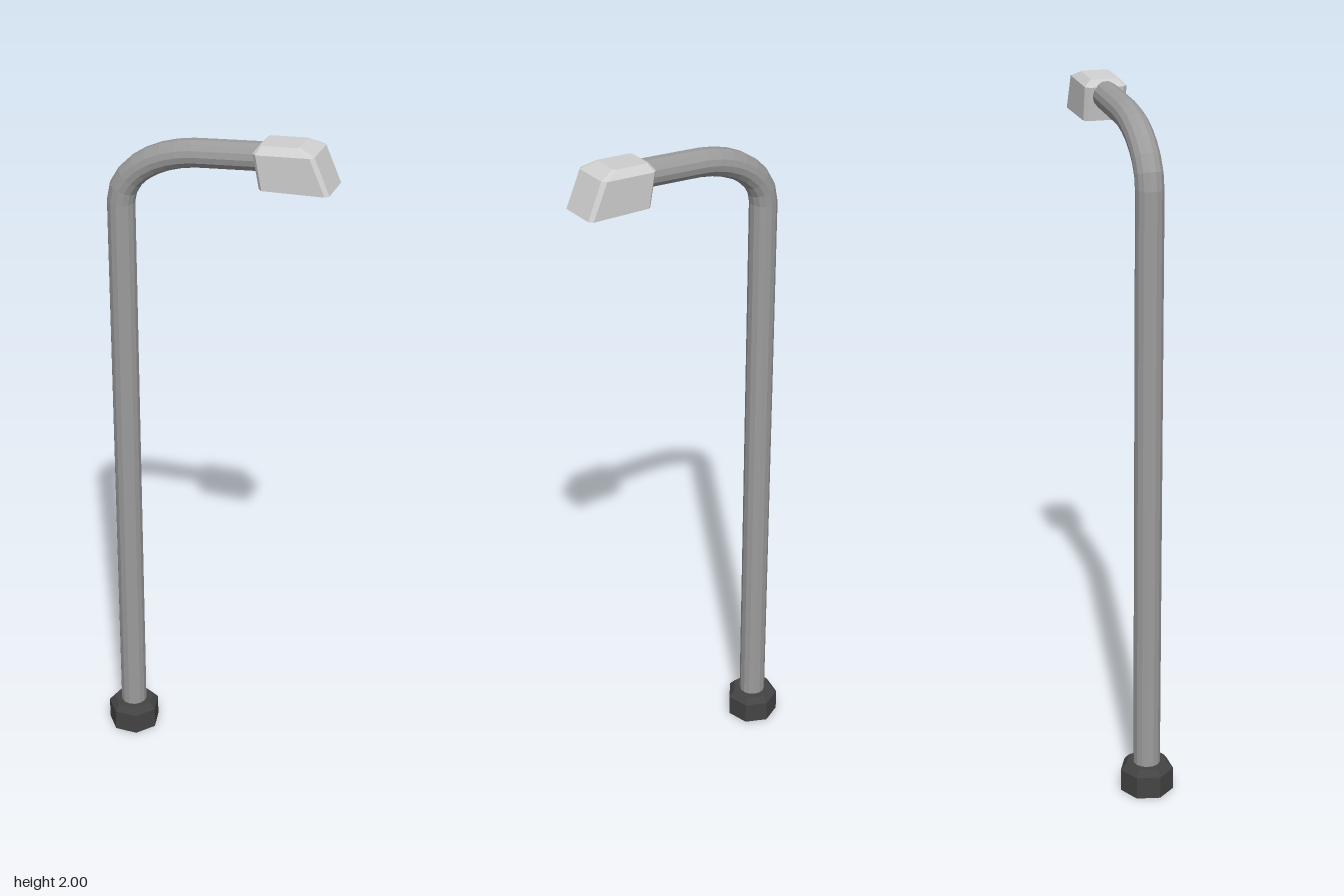
import * as THREE from 'three';

const material = (name, color, flatShading = true) => {
  const m = new THREE.MeshStandardMaterial({ color, flatShading });
  m.name = name;
  return m;
};

// Rectangle with cut corners; height runs linearly from yBack (x0) to yTip (x1)
function ring(x0, x1, halfZ, cut, yBack, yTip) {
  const plan = [
    [x1, -halfZ + cut], [x1, halfZ - cut], [x1 - cut, halfZ], [x0 + cut, halfZ],
    [x0, halfZ - cut], [x0, -halfZ + cut], [x0 + cut, -halfZ], [x1 - cut, -halfZ],
  ];
  return plan.map(([x, z]) =>
    new THREE.Vector3(x, yBack + (yTip - yBack) * (x - x0) / (x1 - x0), z));
}

const fromTriangles = (points) => {
  const g = new THREE.BufferGeometry().setFromPoints(points);
  g.computeVertexNormals();
  return g;
};

// Flat cap over a ring, facing up or down
function cap(r, up) {
  const centre = r.reduce((s, p) => s.add(p), new THREE.Vector3()).divideScalar(r.length);
  return r.flatMap((p, i) => {
    const q = r[(i + 1) % r.length];
    return up ? [centre, q, p] : [centre, p, q];
  });
}

// Walls joining successive rings
function walls(rings) {
  const out = [];
  for (let k = 0; k < rings.length - 1; k++) {
    const a = rings[k], b = rings[k + 1], n = a.length;
    for (let i = 0; i < n; i++) {
      const j = (i + 1) % n;
      out.push(a[i], b[i], a[j], a[j], b[i], b[j]);
    }
  }
  return out;
}

export function createModel() {
  const metal = material('pole grey', 0x9c9c9c);
  const dark = material('base dark grey', 0x444444);
  const light = material('head light grey', 0xd0d0d0);
  const lamp = material('lamp yellow', 0xb08e00);

  const group = new THREE.Group();
  group.name = 'streetLamp';
  const add = (name, geometry, mat, x = 0, y = 0) => {
    const mesh = new THREE.Mesh(geometry, mat);
    mesh.name = name;
    mesh.position.set(x, y, 0.002);
    group.add(mesh);
  };
  const poleX = -0.263, radius = 0.039, sides = 14;

  // Seven-sided foot with a bevelled top
  add('base', new THREE.CylinderGeometry(0.078, 0.078, 0.066, 7, 1, false, Math.PI), dark, poleX, 0.033);
  add('baseBevel', new THREE.CylinderGeometry(0.062, 0.078, 0.018, 7, 1, false, Math.PI), dark, poleX, 0.075);

  // Upright pole
  add('pole', new THREE.CylinderGeometry(radius, radius, 1.71, sides, 1, true), metal, poleX, 0.915);

  // Curved neck followed by a gently rising arm
  const path = new THREE.CurvePath();
  const v = (x, y) => new THREE.Vector3(x, y, 0);
  path.add(new THREE.CubicBezierCurve3(v(poleX, 1.765), v(poleX, 1.845), v(-0.17, 1.92), v(-0.04, 1.933)));
  path.add(new THREE.LineCurve3(v(-0.04, 1.933), v(0.16, 1.95)));
  add('arm', new THREE.TubeGeometry(path, 12, radius, sides, false), metal);

  // Lamp head: recess, rim, slanted body and bevelled top
  const recess = ring(0.16, 0.32, 0.049, 0.008, 1.888, 1.895);
  const top = ring(0.142, 0.25, 0.04, 0.006, 1.992, 2.0);
  const body = [
    recess,
    ring(0.158, 0.326, 0.051, 0.008, 1.8775, 1.8845),
    ring(0.147, 0.338, 0.06, 0.01, 1.877, 1.885),
    ring(0.128, 0.295, 0.06, 0.011, 1.972, 1.984),
    top,
  ];
  add('lampHead', fromTriangles([...walls(body), ...cap(top, true)]), light);

  // Glowing panel under the head
  add('lampPanel', fromTriangles(cap(recess, false)), lamp);

  return group;
}
